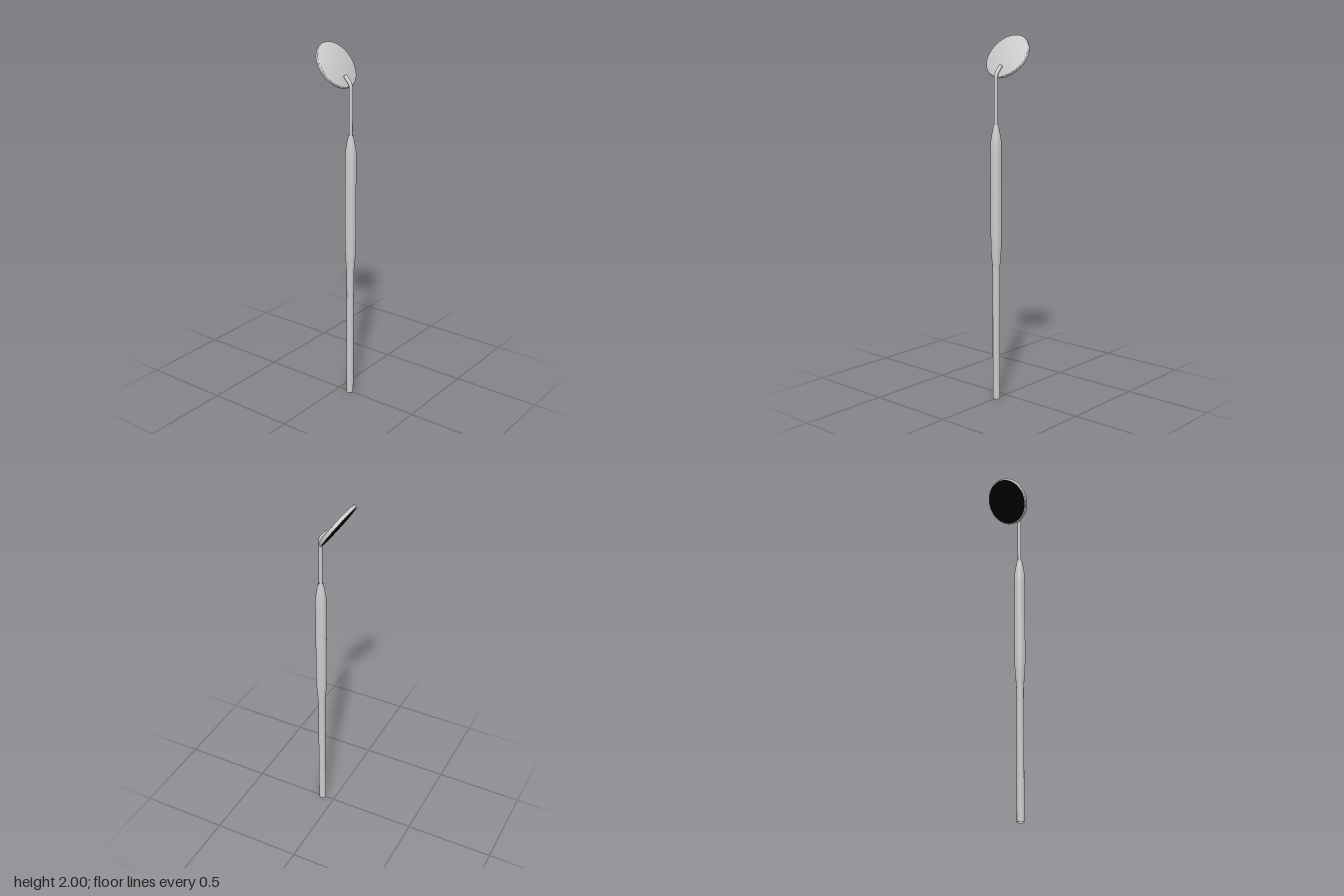
import * as THREE from 'three';
import { toCreasedNormals } from 'three/addons/utils/BufferGeometryUtils.js';

const AXIS_X = 0.0745;

function lathe(points, segments, crease) {
  const profile = points.map(([r, y]) => new THREE.Vector2(r, y));
  return toCreasedNormals(new THREE.LatheGeometry(profile, segments), crease);
}

export function createModel() {
  const model = new THREE.Group();
  const grey = new THREE.MeshStandardMaterial({ color: 0xcccccc });
  const greyOpen = new THREE.MeshStandardMaterial({ color: 0xcccccc, side: THREE.DoubleSide });
  const black = new THREE.MeshStandardMaterial({ color: 0x000000 });

  const add = (parent, name, geometry, material) => {
    const mesh = new THREE.Mesh(geometry, material);
    mesh.name = name;
    parent.add(mesh);
    return mesh;
  };

  // Hollow handle: slim lower shaft, thicker grip, tapered collar
  const handle = add(model, 'handle', lathe([
    [0.02, 0], [0.02, 0.73], [0.0225, 0.77], [0.027, 0.83], [0.029, 0.87],
    [0.03, 1.0], [0.03, 1.36], [0.029, 1.44], [0.0215, 1.485], [0.0135, 1.525],
  ], 40, 0.6), greyOpen);
  handle.position.x = AXIS_X;

  // Thin neck that bends over to lie along the head
  const path = new THREE.CurvePath();
  const p = (x, y) => new THREE.Vector3(x, y, 0);
  path.add(new THREE.LineCurve3(p(AXIS_X, 1.45), p(AXIS_X, 1.775)));
  path.add(new THREE.QuadraticBezierCurve3(p(AXIS_X, 1.775), p(AXIS_X, 1.792), p(0.06, 1.808)));
  path.add(new THREE.LineCurve3(p(0.06, 1.808), p(0.036, 1.836)));
  add(model, 'neck', new THREE.TubeGeometry(path, 90, 0.01, 20), grey);

  // Flat cap closing the neck tip
  const cap = add(model, 'neckTip', new THREE.CircleGeometry(0.01, 20), grey);
  cap.position.set(0.036, 1.836, 0);
  cap.lookAt(0.012, 1.864, 0);

  // Tilted round head with softened edges
  const head = new THREE.Group();
  head.name = 'head';
  head.position.set(-0.021, 1.884, 0);
  head.rotation.z = -0.972;
  model.add(head);
  add(head, 'headDisc', lathe([
    [0, -0.01], [0.13, -0.01], [0.133, -0.007], [0.133, 0.006],
    [0.1318, 0.0088], [0.129, 0.01], [0, 0.01],
  ], 64, 0.9), grey);

  // Dark reflecting face on the underside
  const glass = add(head, 'mirrorFace', new THREE.CircleGeometry(0.127, 64), black);
  glass.rotation.x = Math.PI / 2;
  glass.position.y = -0.0108;

  return model;
}
